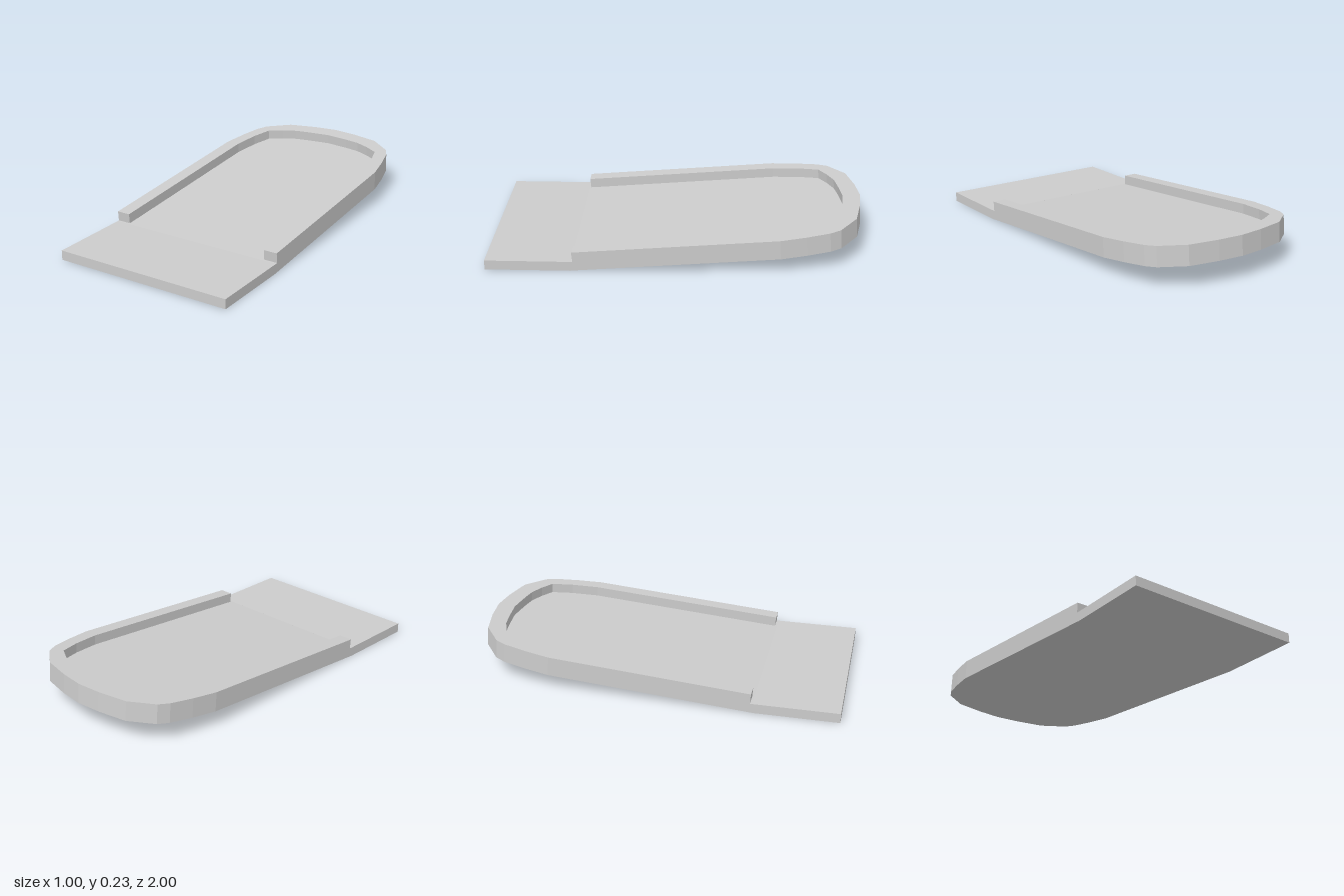
import * as THREE from 'three';

const material = new THREE.MeshStandardMaterial({ color: 0xcccccc, flatShading: true });
const HINGE_Z = 0.56;            // line where the tilted tray meets the flat lip
const TILT = Math.atan(0.0795);
const FLOOR = 0.051, RIM = 0.054;

// Right half of the rounded end, from side to tip, as [x, z]
const outerEnd = [[0.5, -0.54], [0.476, -0.677], [0.445, -0.8], [0.415, -0.857], [0.294, -0.95], [0.135, -0.985], [0, -1]];
const innerEnd = [[0.425, -0.54], [0.402, -0.688], [0.368, -0.802], [0.294, -0.844], [0.214, -0.877], [0.135, -0.89], [0, -0.905]];

// Open U outline: front right corner, around the end, to front left corner
function outline(end, frontZ) {
  const half = [[end[0][0], frontZ], ...end];
  const mirrored = half.slice(0, -1).reverse().map(([x, z]) => [-x, z]);
  return [...half, ...mirrored].map(([x, z]) => new THREE.Vector2(x, HINGE_Z - z));
}

// Extrude a plan shape upward, then tilt it about the hinge line
function tiltedPart(name, points, bottom, height) {
  const geometry = new THREE.ExtrudeGeometry(new THREE.Shape(points), { depth: height, bevelEnabled: false });
  geometry.rotateX(-Math.PI / 2);
  geometry.translate(0, bottom, 0);
  geometry.rotateX(TILT);
  geometry.translate(0, 0, HINGE_Z);
  const mesh = new THREE.Mesh(geometry, material);
  mesh.name = name;
  return mesh;
}

export function createModel() {
  const group = new THREE.Group();
  group.name = 'tray';

  // Flat lip at the front
  const lip = new THREE.Mesh(new THREE.BoxGeometry(1, 0.052, 0.45), material);
  lip.name = 'frontLip';
  lip.position.set(0, 0.026, 0.775);
  group.add(lip);

  // Sloping floor with a rounded far end
  group.add(tiltedPart('floor', outline(outerEnd, HINGE_Z), 0, FLOOR));

  // Raised rim around three sides, open toward the lip
  const rim = [...outline(outerEnd, 0.536), ...outline(innerEnd, 0.536).reverse()];
  group.add(tiltedPart('rim', rim, FLOOR, RIM));

  return group;
}
